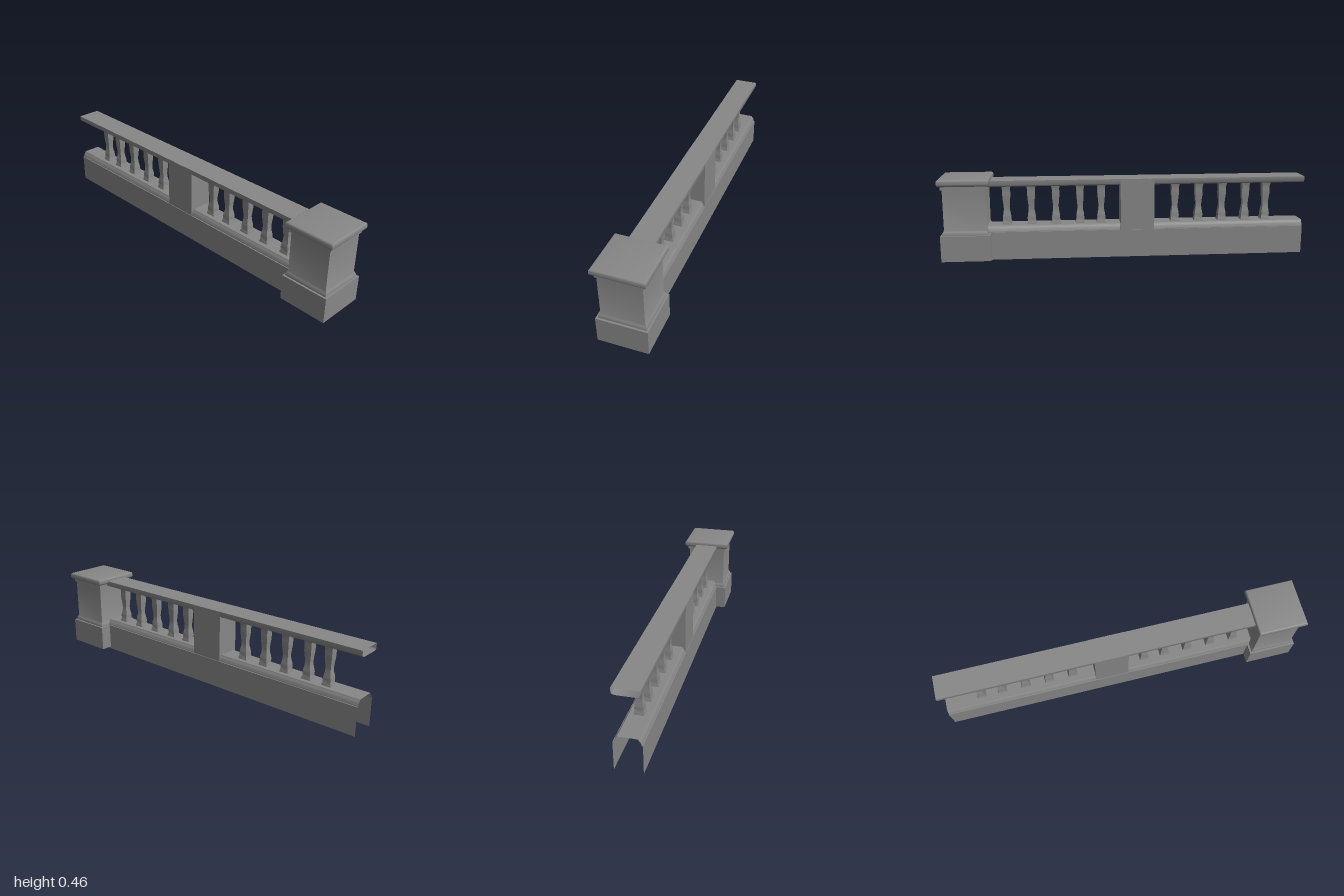
import * as THREE from 'three';
import { toCreasedNormals } from 'three/addons/utils/BufferGeometryUtils.js';

const CREASE = 0.75;
const material = new THREE.MeshStandardMaterial({ color: 0x878787, side: THREE.DoubleSide });

function addMesh(parent, name, geometry, x = 0, y = 0, z = 0) {
  const mesh = new THREE.Mesh(geometry, material);
  mesh.name = name;
  mesh.position.set(x, y, z);
  parent.add(mesh);
  return mesh;
}

// Square turned profile: pairs of [half width, height], bottom to top
function squareTurned(profile) {
  const points = profile.map(([half, y]) => new THREE.Vector2(half * Math.SQRT2, y));
  return toCreasedNormals(new THREE.LatheGeometry(points, 4, Math.PI / 4), CREASE);
}

// Hollow run along z, open at both ends; profile goes anticlockwise seen from +z
function hollowRun(profile, zFront, zBack) {
  const positions = [];
  for (let i = 0; i < profile.length - 1; i++) {
    const [x0, y0] = profile[i];
    const [x1, y1] = profile[i + 1];
    const a = [x0, y0, zFront], b = [x0, y0, zBack];
    const c = [x1, y1, zBack], d = [x1, y1, zFront];
    positions.push(...a, ...b, ...c, ...a, ...c, ...d);
  }
  const geometry = new THREE.BufferGeometry();
  geometry.setAttribute('position', new THREE.Float32BufferAttribute(positions, 3));
  return toCreasedNormals(geometry, CREASE);
}

// Right half of a section plus its mirror image
function mirrored(half) {
  return [...half, ...half.map(([x, y]) => [-x, y]).reverse()];
}

export function createModel() {
  const model = new THREE.Group();
  model.name = 'balustrade';

  // End pillar, open underneath
  const pillar = new THREE.Group();
  pillar.name = 'endPillar';
  pillar.position.z = 0.865;
  model.add(pillar);
  addMesh(pillar, 'pillarBase', squareTurned([[0.1315, 0.012], [0.1315, 0.152], [0.118, 0.152]]));
  addMesh(pillar, 'pillarShaft', squareTurned([
    [0.121, 0.152], [0.121, 0.164], [0.117, 0.172], [0.113, 0.18], [0.1115, 0.187], [0.1115, 0.402],
  ]));
  addMesh(pillar, 'pillarCap', squareTurned([
    [0.11, 0.402], [0.119, 0.402], [0.119, 0.418], [0.122, 0.419], [0.13, 0.423], [0.134, 0.4275],
    [0.135, 0.433], [0.135, 0.447], [0.1335, 0.452], [0.129, 0.4565], [0.127, 0.457], [0, 0.457],
  ]));

  // Straight run: plinth, handrail and middle pier
  const run = new THREE.Group();
  run.name = 'railing';
  run.position.x = -0.0025;
  model.add(run);
  addMesh(run, 'plinth', hollowRun(mirrored([
    [0.07, 0], [0.07, 0.154], [0.064, 0.154], [0.0635, 0.161], [0.061, 0.168], [0.056, 0.176],
    [0.051, 0.182], [0.049, 0.187],
  ]), 0.865, -1));
  const railSection = mirrored([
    [0.05, 0.402], [0.056, 0.404], [0.062, 0.408], [0.065, 0.412], [0.066, 0.417], [0.066, 0.437],
  ]);
  addMesh(run, 'handrail', hollowRun([...railSection, railSection[0]], 0.8, -1));
  addMesh(run, 'middlePier', new THREE.BoxGeometry(0.134, 0.282, 0.186), 0, 0.2955, -0.066);

  // Square balusters, five in each bay
  const balusterGeometry = squareTurned([
    [0.026, 0.186], [0.025, 0.195], [0.021, 0.206], [0.022, 0.222], [0.02, 0.238], [0.016, 0.258],
    [0.015, 0.28], [0.017, 0.305], [0.02, 0.335], [0.0205, 0.36], [0.02, 0.378], [0.022, 0.39], [0.025, 0.404],
  ]);
  for (const z of [0.651, 0.516, 0.382, 0.248, 0.131, -0.282, -0.416, -0.549, -0.682, -0.799]) {
    addMesh(run, 'baluster', balusterGeometry, 0, 0, z);
  }

  return model;
}
